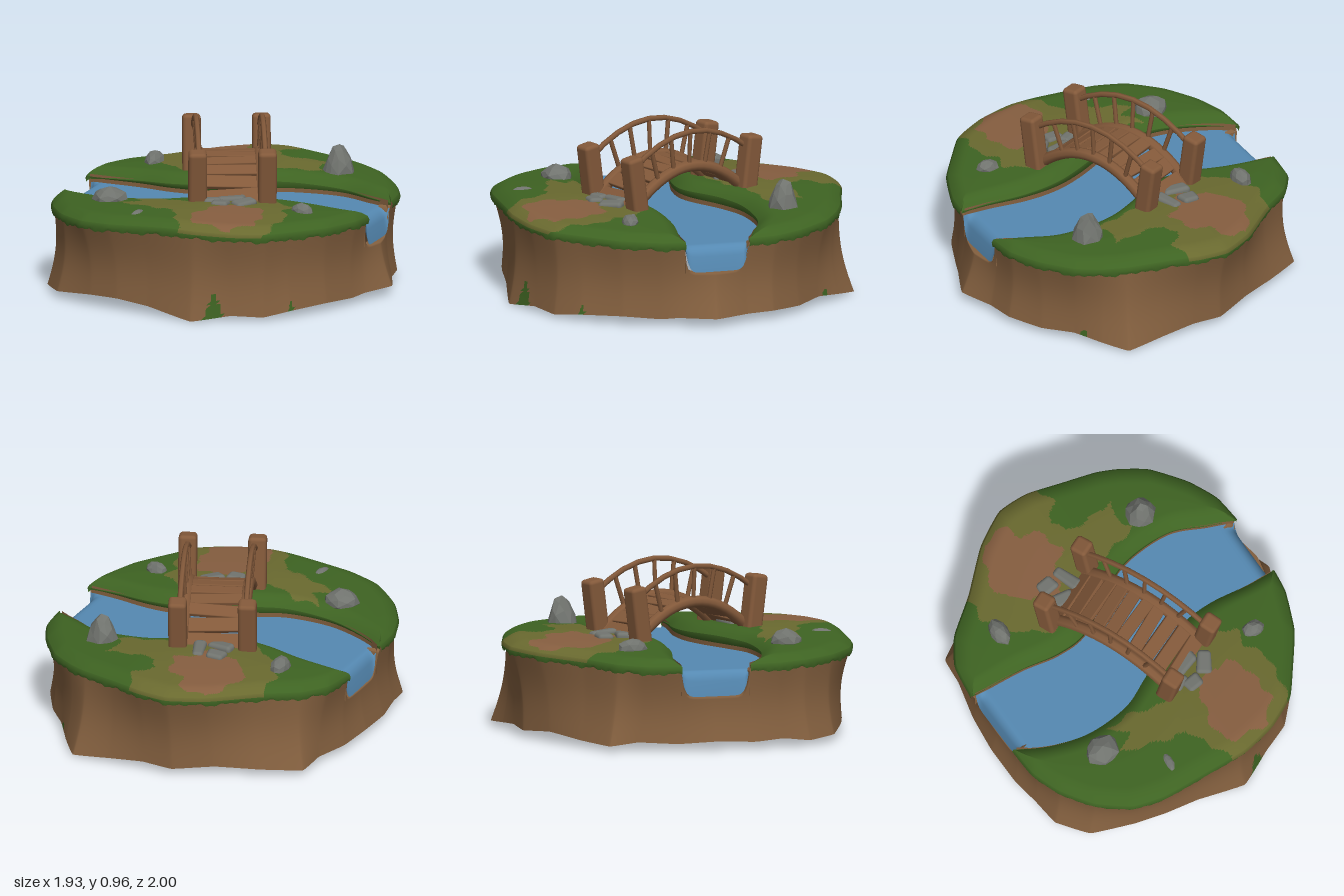
import * as THREE from 'three';
import { RoundedBoxGeometry } from 'three/addons/geometries/RoundedBoxGeometry.js';

const mat = (name, color, side = THREE.FrontSide) => {
  const m = new THREE.MeshStandardMaterial({ color, side });
  m.name = name;
  return m;
};
const V = (x, y, z) => new THREE.Vector3(x, y, z);
const { clamp, lerp } = THREE.MathUtils;

// Bank outlines, left to right: top x, top z, foot x, foot z, foot y
const southRim = [
  [-0.94, 0.22, -0.95, 0.25, 0.04], [-0.93, 0.4, -0.925, 0.42, 0.05], [-0.87, 0.57, -0.9, 0.58, 0.03],
  [-0.75, 0.75, -0.775, 0.75, 0.04], [-0.58, 0.89, -0.54, 0.85, 0.065], [-0.4, 0.945, -0.36, 0.9, 0.07],
  [-0.2, 0.96, -0.16, 0.93, 0.05], [0.12, 0.975, 0.12, 0.99, 0], [0.34, 0.93, 0.33, 0.9, 0.03],
  [0.52, 0.84, 0.5, 0.83, 0.02], [0.62, 0.72, 0.62, 0.71, 0.04], [0.77, 0.52, 0.76, 0.5, 0.05],
  [0.86, 0.3, 0.84, 0.3, 0.04], [0.88, 0.16, 0.88, 0.2, 0.05]];
const northRim = [
  [-0.95, -0.18, -0.93, -0.2, 0.04], [-0.92, -0.38, -0.88, -0.42, 0.05], [-0.82, -0.53, -0.86, -0.58, 0.03],
  [-0.62, -0.68, -0.65, -0.7, 0.04], [-0.4, -0.88, -0.42, -0.82, 0.06], [-0.2, -0.99, -0.2, -0.92, 0.04],
  [-0.02, -0.99, -0.02, -0.93, 0.05], [0.18, -0.935, 0.19, -0.94, 0.03], [0.38, -0.88, 0.41, -0.955, 0.01],
  [0.5, -0.825, 0.52, -0.83, 0.03], [0.64, -0.73, 0.62, -0.69, 0.05], [0.78, -0.55, 0.75, -0.54, 0.04],
  [0.86, -0.38, 0.86, -0.36, 0.05], [0.88, -0.21, 0.89, -0.2, 0.05]];
const southShore = [[-0.94, 0.22], [-0.75, 0.32], [-0.53, 0.385], [-0.28, 0.375], [-0.1, 0.3], [0.1, 0.2],
  [0.28, 0.14], [0.48, 0.125], [0.7, 0.15], [0.88, 0.16]];
const northShore = [[-0.95, -0.18], [-0.85, -0.17], [-0.62, -0.15], [-0.4, -0.11], [-0.2, -0.13], [0.05, -0.28],
  [0.25, -0.355], [0.52, -0.36], [0.73, -0.27], [0.88, -0.21]];

// Ground patches (x, z)
const grassyPatches = [
  [[-0.63, -0.72], [-0.66, -0.5], [-0.6, -0.4], [-0.5, -0.3], [-0.36, -0.22], [-0.05, -0.33], [0.1, -0.42],
    [0.36, -0.48], [0.3, -0.6], [0.36, -0.68], [0.2, -0.66], [0.05, -0.66], [-0.02, -0.76], [0.08, -0.85],
    [0.0, -1.1], [-0.24, -1.1]],
  [[-0.44, 0.44], [-0.3, 0.43], [-0.1, 0.5], [0.1, 0.38], [0.35, 0.28], [0.5, 0.35], [0.48, 0.45], [0.55, 0.6],
    [0.52, 0.85], [0.34, 1.1], [0.1, 1.1], [0, 0.9], [-0.08, 0.72], [-0.3, 0.66], [-0.45, 0.6], [-0.36, 0.52]]];
const barePatches = [
  [[-0.4, -0.88], [-0.24, -0.9], [-0.2, -0.8], [-0.1, -0.75], [-0.05, -0.6], [-0.15, -0.5], [-0.2, -0.38],
    [-0.38, -0.46], [-0.52, -0.6], [-0.48, -0.7]],
  [[0.12, 0.5], [0.35, 0.48], [0.42, 0.62], [0.43, 0.8], [0.32, 0.92], [0.1, 0.9], [0.04, 0.8], [0.08, 0.65]]];

function inside(poly, x, z) {
  let hit = false;
  poly.forEach(([ax, az], i) => {
    const [bx, bz] = poly[(i + 1) % poly.length];
    if ((az > z) !== (bz > z) && x < ax + (bx - ax) * (z - az) / (bz - az)) hit = !hit;
  });
  return hit;
}

// Surface through rows of points; pick(centre) chooses the material of each triangle
function sheet(name, rows, materials, pick = () => 0) {
  const n = rows[0].length, pts = rows.flat(), buckets = materials.map(() => []);
  const tri = (a, b, c) => {
    const m = pts[a].clone().add(pts[b]).add(pts[c]).divideScalar(3);
    buckets[pick(m)].push(a, b, c);
  };
  for (let r = 0; r < rows.length - 1; r++) for (let i = 0; i < n - 1; i++) {
    const a = r * n + i;
    tri(a, a + n, a + 1);
    tri(a + 1, a + n, a + n + 1);
  }
  const g = new THREE.BufferGeometry().setFromPoints(pts);
  g.setIndex(buckets.flat());
  let start = 0;
  buckets.forEach((b, i) => { g.addGroup(start, b.length, i); start += b.length; });
  g.computeVertexNormals();
  const mesh = new THREE.Mesh(g, materials);
  mesh.name = name;
  return mesh;
}

const spline = (pts, tension) => new THREE.CatmullRomCurve3(pts.map(([x, z]) => V(x, 0, z)), false, 'catmullrom', tension);
const range = (n, f) => Array.from({ length: n + 1 }, (_, i) => f(i / n, i));
const mouthDrop = (u) => clamp(1 - Math.min(u, 1 - u) / 0.05, 0, 1);
const lift = (x) => 0.022 - 0.05 * Math.sqrt(x * x + 0.01);

export function createModel() {
  const root = new THREE.Group();
  const D = THREE.DoubleSide;
  const grass = mat('grass green', 0x3e6322, D), olive = mat('dry grass olive', 0x69692f, D);
  const path = mat('bare path', 0x865e40, D), dirt = mat('dirt brown', 0x84603f, D);
  const water = mat('water blue', 0x5589b2, D), wood = mat('wood brown', 0x83593a), stone = mat('stone grey', 0x70736e);

  // Grass banks with rounded lips and a ragged fringe
  const bank = (name, shorePts, rimPts) => {
    const shore = spline(shorePts, 0.5), rim = spline(rimPts, 0.25), rows = [], cols = 200;
    const at = (c, u) => c.getPointAt(u);
    rows.push(range(cols, (u) => at(shore, u).lerp(at(rim, u), 0.03).setY(0.462)));
    rows.push(range(cols, (u) => at(shore, u).setY(0.475)));
    range(60, (t) => rows.push(range(cols, (u) => {
      const a = at(shore, u), b = at(rim, u), p = a.clone().lerp(b, 0.5 - 0.5 * Math.cos(Math.PI * t));
      const da = p.distanceTo(a), db = p.distanceTo(b), d = Math.min(da, db);
      const droop = da < db ? 0.052 : 0.036;
      p.y = 0.546 - droop * (1 - Math.min(1, d / 0.1)) ** 2 + 0.01 * Math.min(1, d / 0.3) + lift(p.x);
      return p;
    })));
    const fringe = (out, y, wave) => rows.push(range(cols, (u, i) => {
      const p = at(rim, u);
      p.addScaledVector(p.clone().normalize(), out);
      return p.setY(y + lift(p.x) + wave * (Math.sin(i * 1.4) + Math.sin(i * 0.35) + Math.sin(i * 0.62)));
    }));
    fringe(0.011, 0.492, 0);
    fringe(0.004, 0.466, 0.004);
    root.add(sheet(name, rows, [grass, olive, path], (c) => {
      const x = c.x + 0.012 * Math.sin(c.z * 45), z = c.z + 0.012 * Math.sin(c.x * 38);
      if (c.y < 0.495 + lift(c.x)) return 0;
      if (barePatches.some((p) => inside(p, x, z))) return 2;
      return grassyPatches.some((p) => inside(p, x, z)) ? 1 : 0;
    }));
    // Dirt wall of the stream bed
    const wallRow = (f) => range(80, (u) => {
      const p = at(shore, u).lerp(at(rim, u), 0.015);
      return p.set(p.x * (1 - 0.02 * mouthDrop(u)), lerp(0.49, 0.38 - 0.08 * mouthDrop(u), f), p.z);
    });
    root.add(sheet(name + 'StreamWall', [wallRow(0), wallRow(1)], [dirt]));
    return shore;
  };
  const south = bank('southBank', southShore, southRim);
  const north = bank('northBank', northShore, northRim);

  // Stream, spilling over the edge at both ends
  root.add(sheet('stream', range(100, (u) => {
    const e = mouthDrop(u), a = north.getPointAt(u), b = south.getPointAt(u);
    return range(24, (s) => {
      const p = a.clone().lerp(b, s);
      const low = 0.304 + 0.141 * Math.abs(2 * s - 1) ** 10;
      p.y = lerp(low, 0.447, Math.sqrt(1 - e * e));
      p.x *= 1 - (p.x > 0 ? 0.012 : 0.026) * e;
      return p;
    });
  }), [water]));

  // Earth cliff, open underneath, with a U-shaped notch and ledge where the stream leaves
  const loop = [...southRim, [0.89, -0.02, 0.965, 0, 0.05], ...northRim.slice().reverse(), [-0.945, 0.02, -0.955, 0.02, 0.05]];
  const closed = (f, tension) => new THREE.CatmullRomCurve3(loop.map(f), true, 'catmullrom', tension);
  const topCurve = closed((p) => V(p[0] * 0.992, 0.48 + lift(p[0]), p[1] * 0.992), 0.25);
  const footCurve = closed((p) => V(p[2], p[4], p[3]), 0.12);
  const notch = (a) => (Math.abs(a.x) < 0.7 ? 9
    : a.x > 0 ? Math.abs(a.z + 0.025) / 0.187 : Math.abs(a.z - 0.02) / 0.2);
  const cliffRow = (f, inset) => range(320, (t) => {
    const a = topCurve.getPoint(t), b = footCurve.getPoint(t);
    b.y = Math.max(0, b.y);
    const w = notch(a), top = lerp(0.298, a.y, Math.min(1, w) ** 10);
    const k = lerp((a.y - top) / (a.y - b.y), 1, f);
    const pinch = 1 - 0.026 * Math.sin(Math.PI * k);
    const p = a.lerp(b, k);
    return V(p.x * pinch * (w < 1.1 ? inset : 1), p.y, p.z * pinch);
  });
  const tufts = [[0.235, 0.92, 0.06], [0.62, 0.7, 0.03], [0.59, -0.74, 0.035]];
  root.add(sheet('cliff', [cliffRow(0, 0.92), ...range(24, (f) => cliffRow(f, 1))], [dirt, grass], (c) =>
    (tufts.some(([x, z, r]) => Math.hypot(c.x - x, c.z - z) < r - 0.4 * (c.y - 0.02)) ? 1 : 0)));

  // Arched footbridge
  const bridge = new THREE.Group();
  bridge.name = 'bridge';
  bridge.position.set(-0.015, 0, 0.01);
  bridge.rotation.y = 0.405;
  root.add(bridge);
  const add = (name, geometry, parent = bridge, material = wood) => {
    const m = new THREE.Mesh(geometry, material);
    m.name = name;
    parent.add(m);
    return m;
  };
  const deckY = (z) => 0.735 - 0.19 * (z / 0.4) ** 2;
  const railY = (z) => 0.942 - 0.16 * (z / 0.42) ** 2;
  const arch = (x, half, f) => new THREE.CatmullRomCurve3(range(10, (t) => V(x, f((2 * t - 1) * half), (2 * t - 1) * half)));
  for (const s of [-1, 1]) {
    add('archBeam', new THREE.TubeGeometry(arch(s * 0.17, 0.41, deckY), 20, 0.033, 8));
    add('handrail', new THREE.TubeGeometry(arch(s * 0.188, 0.42, railY), 8, 0.016, 6));
    for (let i = -2; i <= 2; i++) {
      const foot = V(s * 0.175, deckY(i * 0.11), i * 0.11), head = V(s * 0.188, railY(i * 0.14) - 0.004, i * 0.14);
      add('baluster', new THREE.TubeGeometry(new THREE.LineCurve3(foot, head), 1, 0.013, 6));
    }
    for (const e of [-1, 1]) {
      const post = add('post', new RoundedBoxGeometry(0.104, 0.36, 0.104, 2, 0.022));
      post.position.set(s * 0.198, 0.682, e * 0.41);
      post.rotation.x = e * 0.14;
    }
  }
  for (let i = 0; i < 10; i++) {
    const z = (i - 4.5) * 0.082, slope = Math.atan(2 * 0.19 * z / 0.16);
    const plank = add('plank', new RoundedBoxGeometry(0.335, 0.026, 0.075 / Math.cos(slope), 1, 0.006));
    plank.position.set(0.006 * Math.sin(i * 5), deckY(z) + 0.003, z);
    plank.rotation.set(slope, 0.05 * Math.sin(i * 2.3), 0.02 * Math.sin(i * 3.7));
  }

  // Boulders: x, z, radii x, y, z, turn
  const boulders = [[0.445, -0.53, 0.092, 0.16, 0.09, 0.3], [-0.62, -0.39, 0.053, 0.06, 0.085, 0],
    [-0.54, 0.53, 0.1, 0.072, 0.09, 0.2], [0.575, 0.405, 0.066, 0.05, 0.048, -0.2], [-0.27, 0.8, 0.028, 0.028, 0.066, -0.1]];
  boulders.forEach(([x, z, rx, ry, rz, turn], k) => {
    const g = new THREE.IcosahedronGeometry(1, 1), p = g.attributes.position, v = V(0, 0, 0);
    for (let i = 0; i < p.count; i++) {
      v.fromBufferAttribute(p, i);
      v.multiplyScalar(1 + 0.1 * Math.sin(v.x * 4 + k) * Math.cos(v.z * 5 + v.y * 3 + k * 2));
      const taper = ry > 0.1 ? 1 - 0.3 * Math.max(0, v.y) : 1;
      p.setXYZ(i, v.x * rx * taper, v.y * ry, v.z * rz * taper);
    }
    g.computeVertexNormals();
    const m = add('boulder', g, root, stone);
    m.position.set(x, 0.545, z);
    m.rotation.y = turn;
  });

  // Flat stepping stones at the bridge ends: x, z, width, depth, turn
  const slabs = [[-0.245, -0.46, 0.11, 0.09, 0.1], [-0.225, -0.345, 0.145, 0.085, -0.15], [-0.125, -0.435, 0.07, 0.17, 0.35],
    [0.13, 0.366, 0.17, 0.08, 0.3], [0.23, 0.42, 0.085, 0.14, -0.6], [0.11, 0.488, 0.105, 0.085, 0.1], [0.045, 0.442, 0.1, 0.07, 0.5]];
  slabs.forEach(([x, z, w, d, turn], k) => {
    const g = new RoundedBoxGeometry(w, 0.05, d, 3, 0.022), p = g.attributes.position;
    for (let i = 0; i < p.count; i++) p.setX(i, p.getX(i) * (1 + 0.25 * Math.cos(k * 3) * p.getZ(i) / d));
    const m = add('steppingStone', g, root, stone);
    m.position.set(x, 0.562, z);
    m.rotation.set(0.08 * Math.sin(k * 2), turn, 0.08 * Math.cos(k * 4));
  });
  return root;
}
